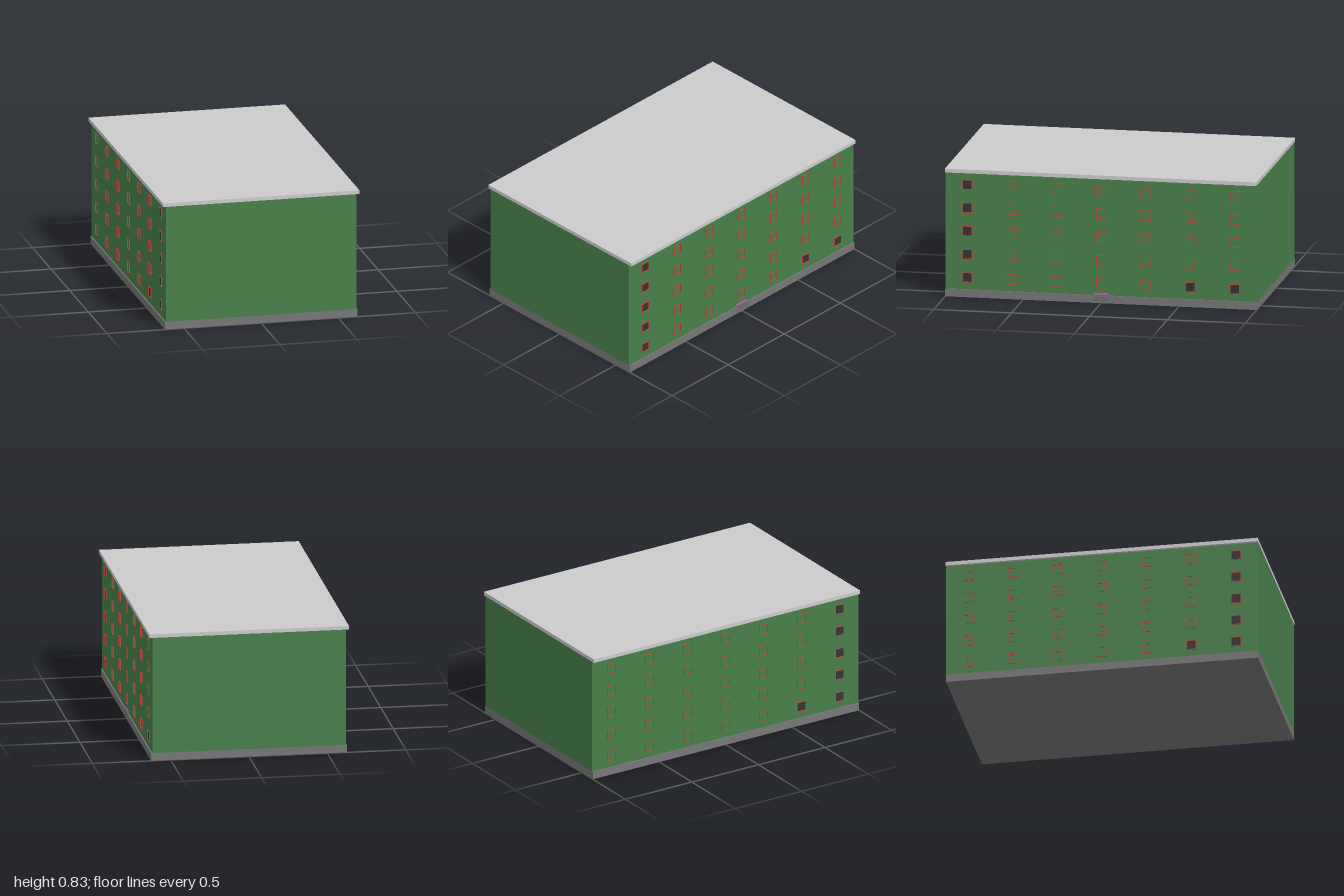
import * as THREE from 'three';

const mat = (color) => new THREE.MeshStandardMaterial({ color });
const green = mat(0x47804a), plinthGrey = mat(0x777777), roofGrey = mat(0xcccccc);
const red = mat(0xd04038), dark = mat(0x333333), stepGrey = mat(0x6a6a6a), magenta = mat(0xc860c0);

function box(name, w, h, d, x, y, z, material) {
  const mesh = new THREE.Mesh(new THREE.BoxGeometry(w, h, d), material);
  mesh.name = name;
  mesh.position.set(x, y, z);
  return mesh;
}

// Thin square ring, extruded outward
function frameGeometry(size, bar, depth) {
  const square = (T, h) => new T([[-h, -h], [h, -h], [h, h], [-h, h]].map(([x, y]) => new THREE.Vector2(x, y)));
  const shape = square(THREE.Shape, size / 2);
  shape.holes.push(square(THREE.Path, size / 2 - bar));
  return new THREE.ExtrudeGeometry(shape, { depth, bevelEnabled: false }).rotateY(Math.PI / 2);
}

export function createModel() {
  const model = new THREE.Group();
  model.name = 'apartmentBlock';

  // Main volumes
  model.add(
    box('plinth', 1.25, 0.05, 2, 0, 0.025, 0, plinthGrey),
    box('walls', 1.234, 0.754, 2, 0, 0.427, 0, green),
    box('roofSlab', 1.274, 0.024, 2, 0, 0.816, 0, roofGrey),
  );

  // Windows: five floors of seven on each long side
  const frameGeo = frameGeometry(0.064, 0.004, 0.006);
  for (const side of [1, -1]) {
    const windows = new THREE.Group();
    windows.name = side > 0 ? 'leftWindows' : 'rightWindows';
    for (let floor = 0; floor < 5; floor++) {
      for (let col = 0; col < 7; col++) {
        const y = 0.127 + floor * 0.15, z = 0.858 - col * 0.286;
        const frame = new THREE.Mesh(frameGeo, red);
        frame.name = 'windowFrame';
        frame.position.set(side * 0.616, y, z);
        if (side < 0) frame.rotation.y = Math.PI;
        windows.add(frame);

        // Dark panes in the end column and part of the ground floor
        const groundPane = floor === 0 && (side > 0 ? col >= 5 : col === 1);
        if (col === 0 || groundPane) {
          windows.add(box('windowPane', 0.002, 0.056, 0.056, side * 0.6172, y, z, dark));
        }
      }
    }
    model.add(windows);
  }

  // Entrance steps against the plinth, with a coloured door sill above
  const entrance = new THREE.Group();
  entrance.name = 'entrance';
  for (let i = 0; i < 3; i++) {
    entrance.add(box('step', 0.012 - i * 0.002, 0.011, 0.094, 0.621, 0.02 + i * 0.014, 0, stepGrey));
  }
  entrance.add(box('doorSill', 0.008, 0.012, 0.094, 0.6155, 0.058, 0, magenta));
  model.add(entrance);

  return model;
}
